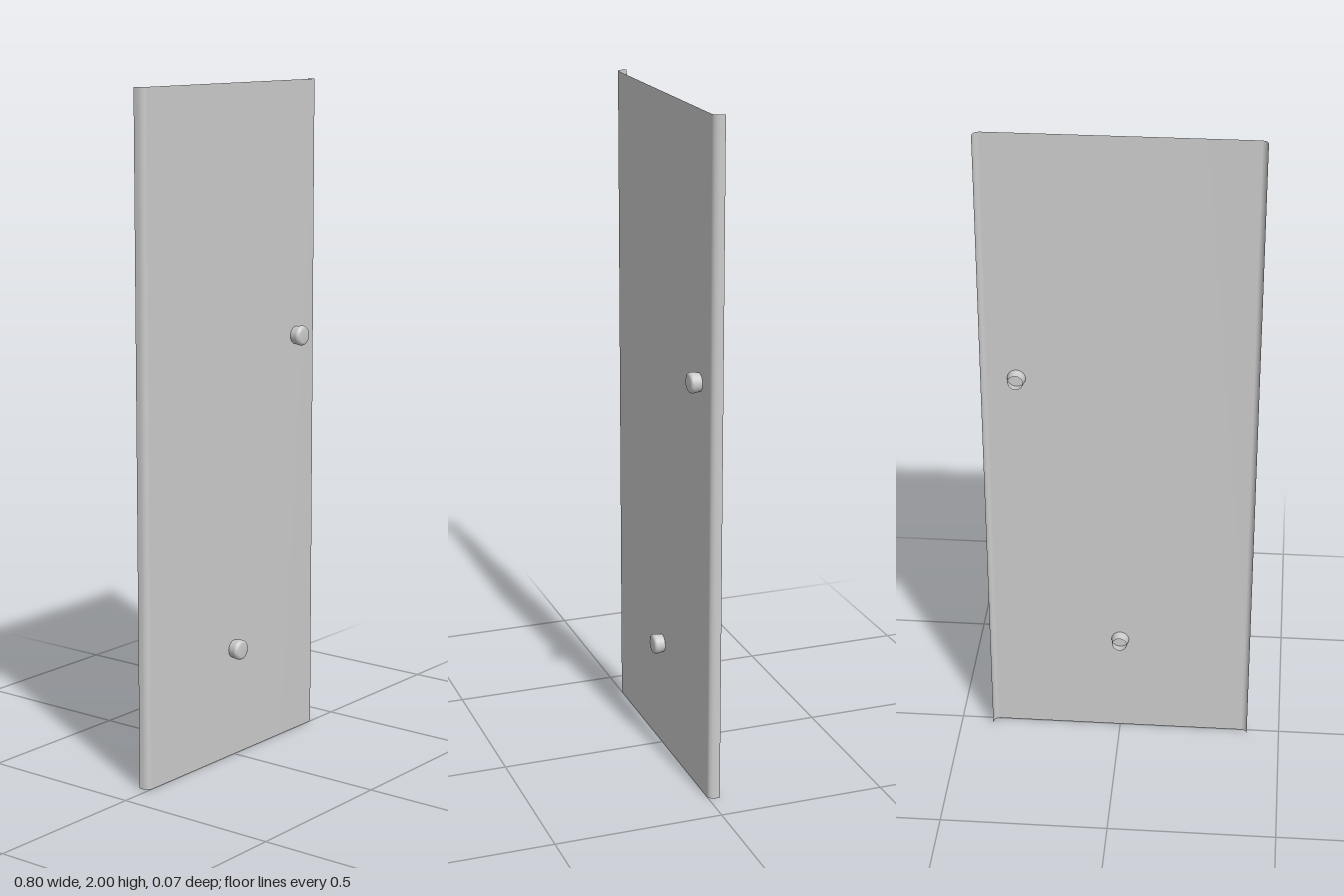
import * as THREE from 'three';

const material = new THREE.MeshStandardMaterial({ color: 0xcccccc, side: THREE.DoubleSide });

// Thin sheet whose long edges roll back into short lips
function makePanel() {
  const right = [[0.15, 0], [0.383, 0], [0.391, -0.003], [0.397, -0.009], [0.4, -0.018], [0.4, -0.033]];
  const left = right.map(([x, z]) => [-x, z]).reverse();
  const profile = [...left, ...right];
  const geometry = new THREE.PlaneGeometry(1, 2, profile.length - 1, 1);
  const position = geometry.attributes.position;
  for (let i = 0; i < position.count; i++) {
    const [x, z] = profile[i % profile.length];
    position.setXYZ(i, x, position.getY(i) + 1, z);
  }
  geometry.computeVertexNormals();
  const panel = new THREE.Mesh(geometry, material);
  panel.name = 'doorPanel';
  return panel;
}

// Tapered knob, open at the back, with a softened front rim
function makeKnob(name, x, y) {
  const profile = [
    [0.022, -0.03], [0.03, 0.021], [0.0298, 0.025], [0.027, 0.03], [0.021, 0.033], [0, 0.033],
  ].map(([r, z]) => new THREE.Vector2(r, z));
  const geometry = new THREE.LatheGeometry(profile, 32).rotateX(Math.PI / 2);
  const knob = new THREE.Mesh(geometry, material);
  knob.name = name;
  knob.position.set(x, y, 0);
  return knob;
}

export function createModel() {
  const door = new THREE.Group();
  door.name = 'cabinetDoor';
  door.add(
    makePanel(),
    makeKnob('upperKnob', 0.3, 1.24),
    makeKnob('lowerKnob', 0, 0.33),
  );
  return door;
}
